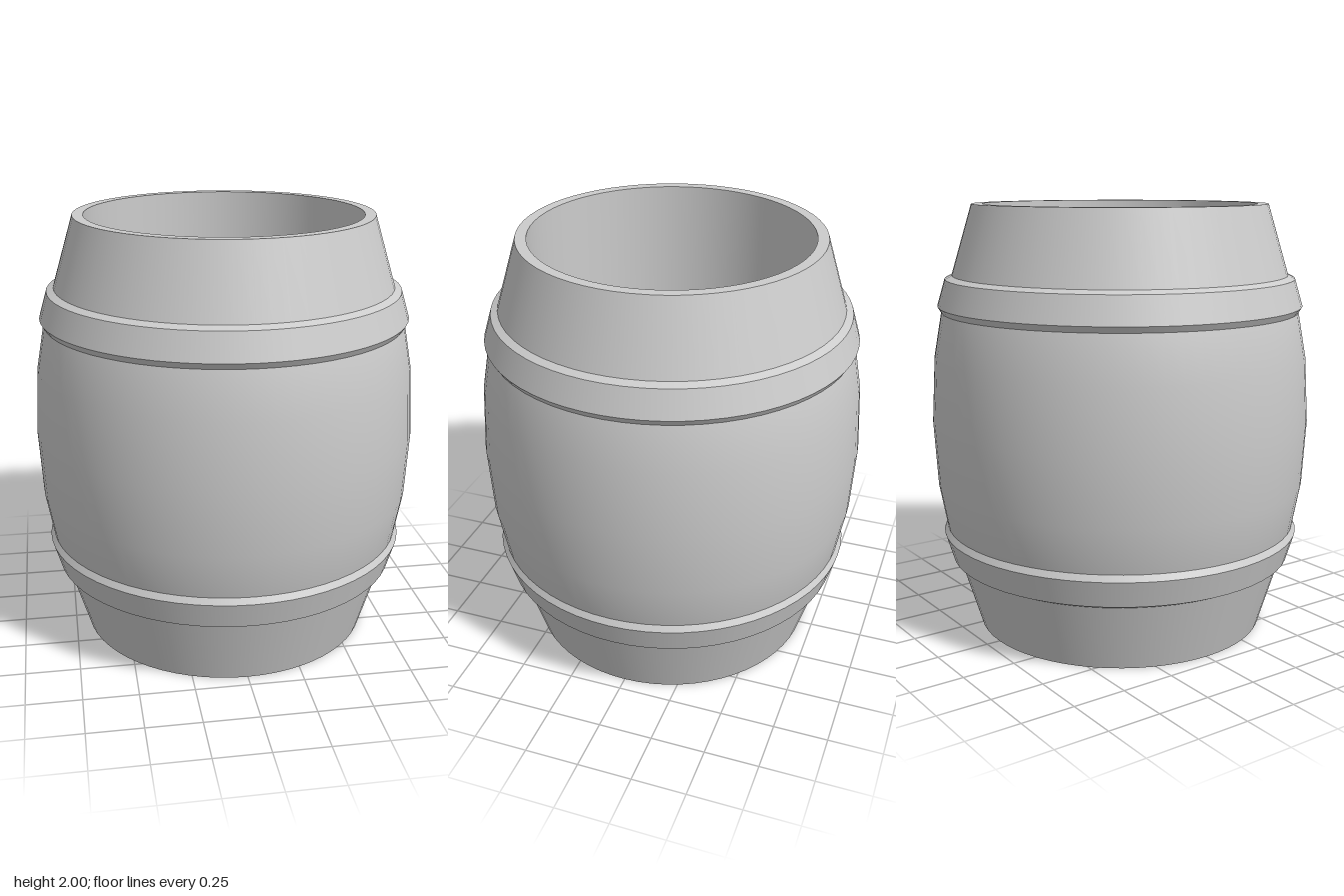
import * as THREE from 'three';
import { mergeGeometries } from 'three/addons/utils/BufferGeometryUtils.js';

const SEGMENTS = 64;
const material = new THREE.MeshStandardMaterial({ color: 0xcccccc });

// Each run is smooth in itself; the joins between runs stay sharp.
function turned(name, runs) {
  const lathes = runs.map((run) =>
    new THREE.LatheGeometry(run.map(([r, y]) => new THREE.Vector2(r, y)), SEGMENTS));
  const mesh = new THREE.Mesh(mergeGeometries(lathes), material);
  mesh.name = name;
  return mesh;
}

// Straight-sided runs between consecutive profile points
const facets = (points) => points.slice(1).map((p, i) => [points[i], p]);

export function createModel() {
  const group = new THREE.Group();
  group.name = 'barrel';

  // Bulging outer wall between two conical ends
  group.add(turned('outerWall', [
    [[0.685, 0], [0.785, 0.33]],
    [[0.785, 0.33], [0.835, 0.49], [0.873, 0.7], [0.89, 1],
      [0.873, 1.3], [0.835, 1.51], [0.785, 1.67]],
    [[0.785, 1.67], [0.685, 2]],
  ]));

  // Base, rim and straight hollow inside
  group.add(turned('base', [[[0, 0], [0.685, 0]]]));
  group.add(turned('rim', [[[0.685, 2], [0.635, 2]]]));
  group.add(turned('innerWall', [[[0.635, 2], [0.635, 0.05]]]));
  group.add(turned('floor', [[[0.635, 0.05], [0, 0.05]]]));

  // Mirrored pair of bevelled hoops
  const hoop = [[0.782, 0.322], [0.815, 0.338], [0.852, 0.462], [0.835, 0.49]];
  const upper = hoop.map(([r, y]) => [r, 2 - y]).reverse();
  group.add(turned('lowerHoop', facets(hoop)));
  group.add(turned('upperHoop', facets(upper)));

  return group;
}
